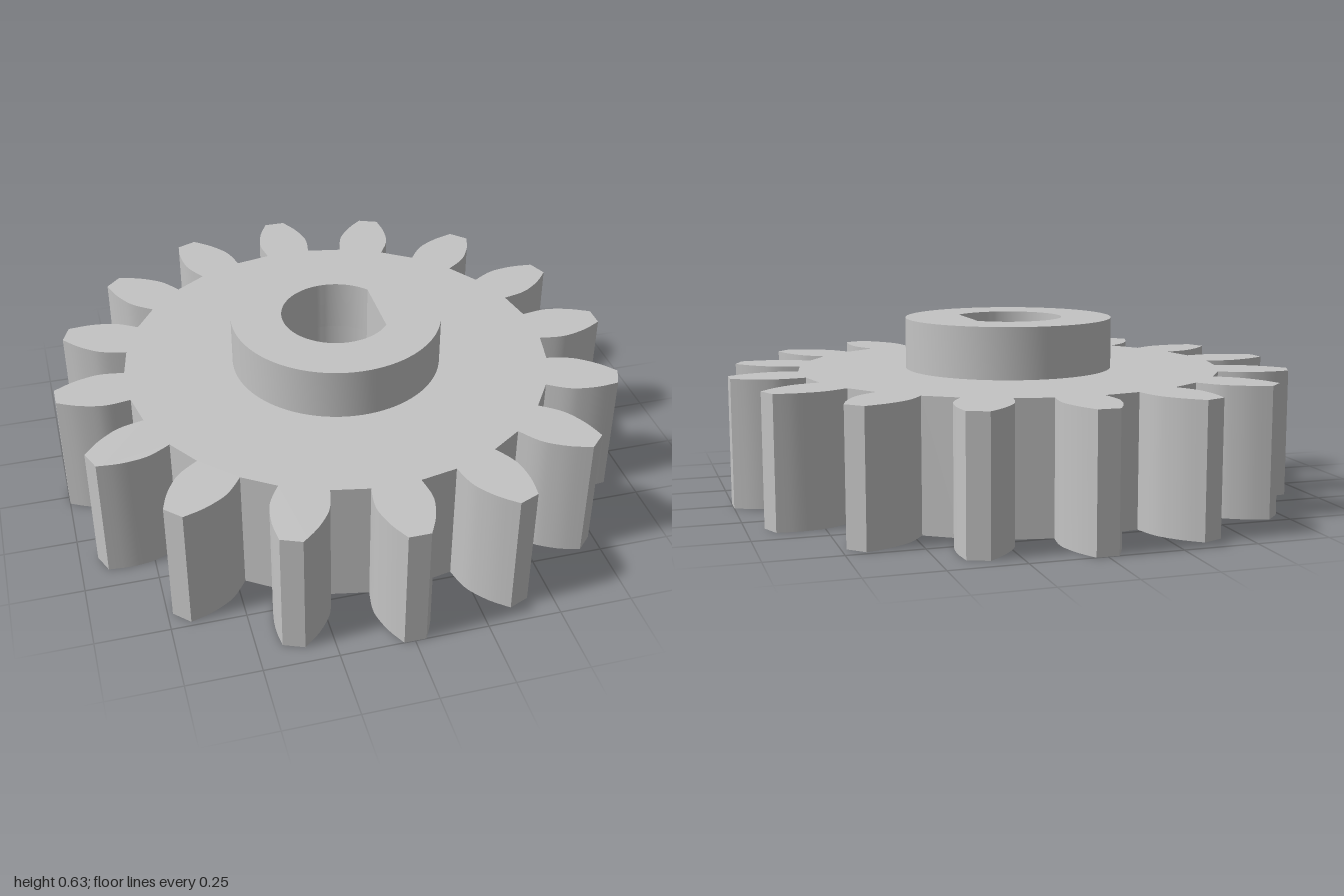
import * as THREE from 'three';
import { toCreasedNormals } from 'three/addons/utils/BufferGeometryUtils.js';

const TEETH = 16, GEAR_HEIGHT = 0.45, TOTAL_HEIGHT = 0.63;
const HUB_RADIUS = 0.37, BORE_RADIUS = 0.192, BORE_FLAT = 0.15;

// One tooth flank from root to tip: (half width, distance from the axis)
const flank = new THREE.SplineCurve([
  [0.083, 0.75], [0.09, 0.79], [0.094, 0.83], [0.09, 0.87], [0.07, 0.936], [0.037, 1],
].map(([w, r]) => new THREE.Vector2(w, r))).getPoints(14);

// Closed outline of all teeth, with straight root lands between them
function gearShape() {
  const tooth = [
    ...flank,
    ...flank.map(p => new THREE.Vector2(-p.x, p.y)).reverse(),
  ];
  const outline = [];
  for (let i = 0; i < TEETH; i++) {
    const angle = (i / TEETH) * Math.PI * 2;
    for (const p of tooth) outline.push(p.clone().rotateAround(new THREE.Vector2(), angle));
  }
  return new THREE.Shape(outline);
}

// D-shaped shaft hole with its flat towards +x
function boreHole() {
  const half = Math.acos(BORE_FLAT / BORE_RADIUS);
  const points = [];
  for (let i = 0; i <= 64; i++) {
    const a = half + (i / 64) * (Math.PI * 2 - 2 * half);
    points.push(new THREE.Vector2(Math.cos(a) * BORE_RADIUS, Math.sin(a) * BORE_RADIUS));
  }
  return new THREE.Path(points);
}

// Extrude an outline upwards with the bore cut through it
function plate(name, shape, bottom, top, material) {
  shape.holes.push(boreHole());
  const geometry = new THREE.ExtrudeGeometry(shape, {
    depth: top - bottom, bevelEnabled: false, curveSegments: 48,
  });
  geometry.rotateX(-Math.PI / 2).translate(0, bottom, 0);
  const mesh = new THREE.Mesh(toCreasedNormals(geometry, 0.45), material);
  mesh.name = name;
  return mesh;
}

export function createModel() {
  const group = new THREE.Group();
  group.name = 'spurGear';
  const steel = new THREE.MeshStandardMaterial({ color: 0xc4c4c4 });
  steel.name = 'light grey';

  const hub = new THREE.Shape().absarc(0, 0, HUB_RADIUS, 0, Math.PI * 2, false);
  group.add(
    plate('toothedWheel', gearShape(), 0, GEAR_HEIGHT, steel),
    plate('hub', hub, GEAR_HEIGHT, TOTAL_HEIGHT, steel),
  );
  return group;
}
